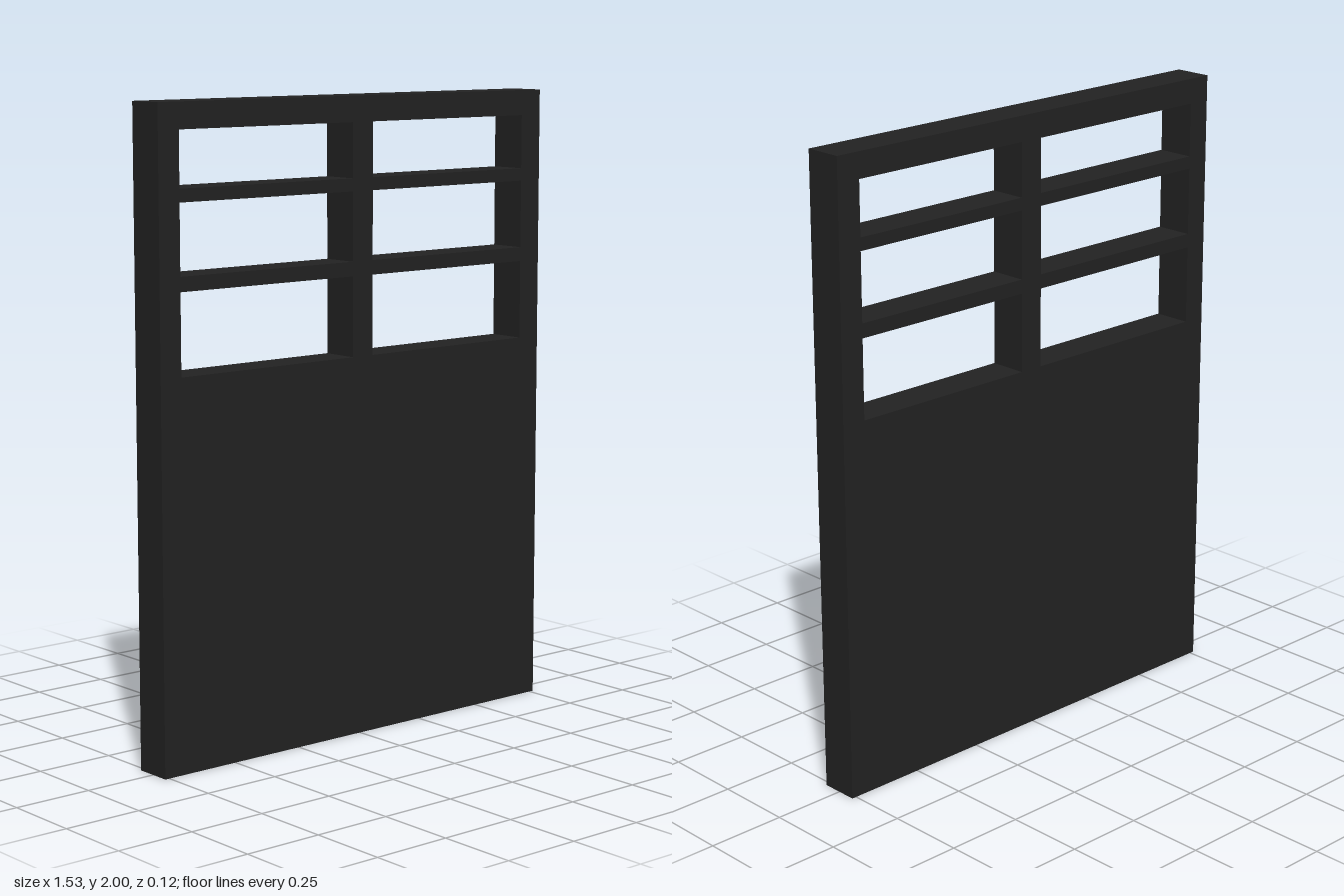
import * as THREE from 'three';

const DEPTH = 0.122;
const HALF_WIDTH = 0.765;
const HEIGHT = 2;

// Window openings: columns as [left, right], rows as [bottom, top]
const COLUMNS = [[-0.69, -0.03], [0.05, 0.685]];
const ROWS = [[1.2, 1.45], [1.495, 1.71], [1.75, 1.92]];

function rectangle(target, x0, x1, y0, y1) {
  target.moveTo(x0, y0);
  target.lineTo(x1, y0);
  target.lineTo(x1, y1);
  target.lineTo(x0, y1);
  target.closePath();
  return target;
}

export function createModel() {
  const group = new THREE.Group();
  group.name = 'doorPanel';

  const charcoal = new THREE.MeshStandardMaterial({ color: 0x222222 });
  charcoal.name = 'charcoal';

  // Solid lower panel and glazing bars in one slab, pierced by six openings
  const outline = rectangle(new THREE.Shape(), -HALF_WIDTH, HALF_WIDTH, 0, HEIGHT);
  for (const [x0, x1] of COLUMNS) {
    for (const [y0, y1] of ROWS) {
      outline.holes.push(rectangle(new THREE.Path(), x0, x1, y0, y1));
    }
  }

  const geometry = new THREE.ExtrudeGeometry(outline, { depth: DEPTH, bevelEnabled: false });
  geometry.translate(0, 0, -DEPTH / 2);

  const panel = new THREE.Mesh(geometry, charcoal);
  panel.name = 'panelWithWindowOpenings';
  group.add(panel);

  return group;
}
